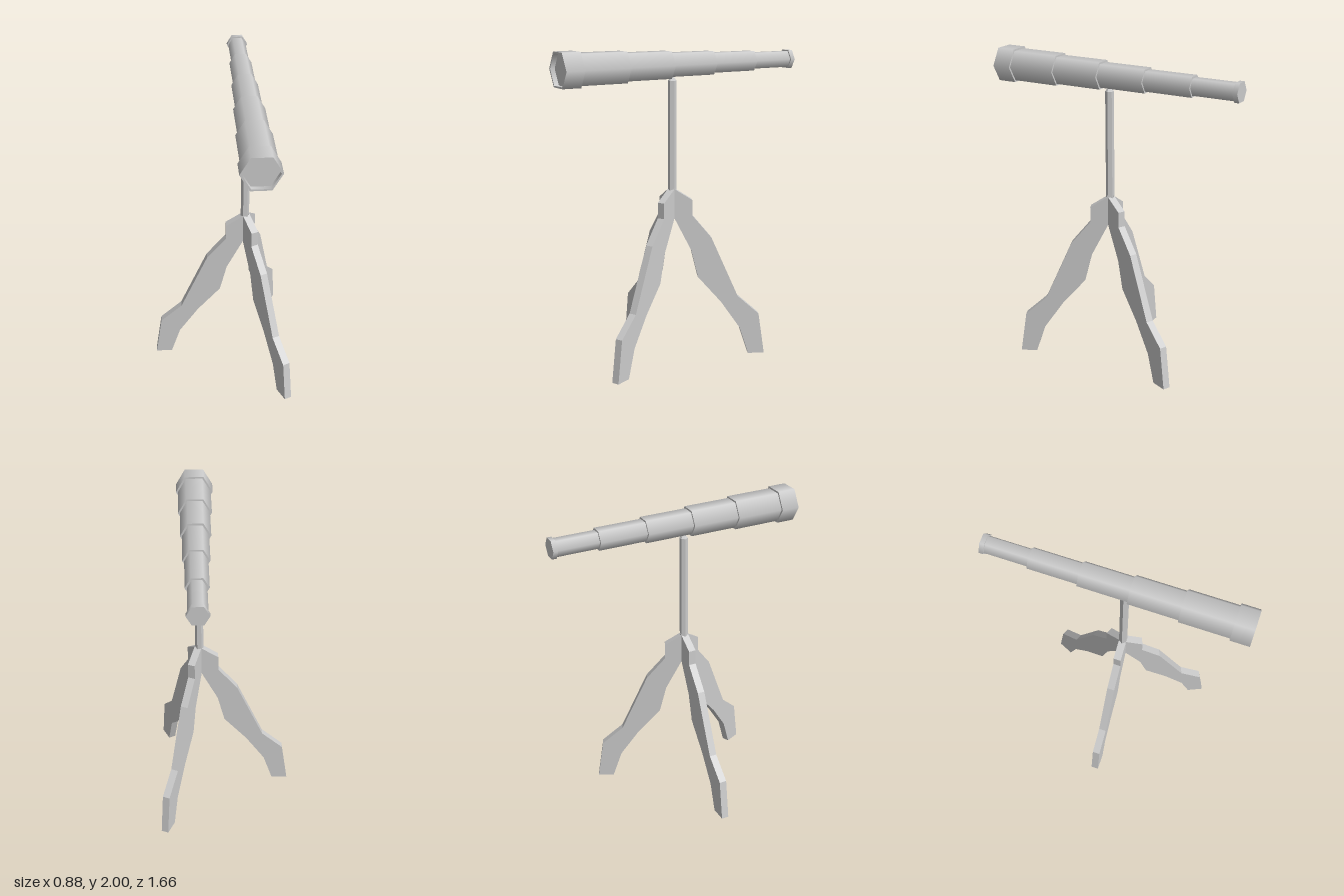
import * as THREE from 'three';
import { mergeGeometries } from 'three/addons/utils/BufferGeometryUtils.js';

const SIDES = 6;
const HUB = { x: 0.165, z: 0.053 };

// Six-sided shell along z from [radius, z] points; every band keeps its own smooth normals
function hexShell(profile) {
  const bands = [];
  for (let i = 0; i < profile.length - 1; i++) {
    const pair = [profile[i], profile[i + 1]].map(([r, z]) => new THREE.Vector2(r, z));
    bands.push(new THREE.LatheGeometry(pair, SIDES, Math.PI / 2));
  }
  return mergeGeometries(bands).rotateX(Math.PI / 2);
}

export function createModel() {
  const model = new THREE.Group();
  const smooth = new THREE.MeshStandardMaterial({ color: 0xcccccc });
  const flat = new THREE.MeshStandardMaterial({ color: 0xcccccc, flatShading: true });

  const add = (parent, name, geometry, material) => {
    const mesh = new THREE.Mesh(geometry, material);
    mesh.name = name;
    parent.add(mesh);
    return mesh;
  };

  // Telescope: nested draw tubes, widest at the front
  const telescope = new THREE.Group();
  telescope.name = 'telescope';
  telescope.position.set(0.173, 1.895, 0);
  model.add(telescope);

  const tubes = [
    [0.108, 0.4, 0.72],
    [0.096, 0.09, 0.41],
    [0.083, -0.22, 0.1],
    [0.071, -0.53, -0.21],
    [0.058, -0.81, -0.52],
  ];
  tubes.forEach(([r, z0, z1], i) => {
    add(telescope, `drawTube${i + 1}`, hexShell([[0, z0], [r, z0], [r, z1], [0, z1]]), smooth);
  });

  // Front collar with a recessed lens
  add(telescope, 'lensCollar',
    hexShell([[0, 0.71], [0.121, 0.71], [0.121, 0.83], [0.109, 0.83], [0.109, 0.8]]), smooth);
  add(telescope, 'lens', hexShell([[0.109, 0.8], [0, 0.8]]), smooth);

  // Eyepiece ring
  add(telescope, 'eyepiece',
    hexShell([[0, -0.83], [0.067, -0.83], [0.067, -0.8], [0, -0.8]]), smooth);

  // Post with a bevelled tip
  const post = new THREE.Group();
  post.name = 'post';
  post.position.set(HUB.x - 0.003, 0, HUB.z);
  model.add(post);
  const hexPrism = (rTop, rBottom, y0, y1) =>
    new THREE.CylinderGeometry(rTop, rBottom, y1 - y0, SIDES, 1, false, Math.PI / 2)
      .translate(0, (y0 + y1) / 2, 0);
  add(post, 'postShaft', hexPrism(0.027, 0.027, 1.0, 1.795), flat);
  add(post, 'postTip', hexPrism(0.012, 0.027, 1.795, 1.815), flat);

  // Three flat curved legs, cut from one board outline [distance from hub, height]
  const outline = [
    [0, 0.945], [0.12, 0.71], [0.165, 0.53], [0.315, 0.36], [0.44, 0.18], [0.5, 0], [0.605, 0],
    [0.565, 0.27], [0.425, 0.395], [0.25, 0.79], [0.125, 0.94], [0.125, 1.04], [0, 1.12],
  ];
  const thickness = 0.048;
  const legGeometry = new THREE.ExtrudeGeometry(
    new THREE.Shape(outline.map(([u, y]) => new THREE.Vector2(u, y))),
    { depth: thickness, bevelEnabled: false },
  ).translate(0, 0, -thickness / 2);

  const splay = THREE.MathUtils.degToRad(65.5);
  const legs = { rightLeg: Math.PI, frontLeg: -splay, backLeg: splay };
  for (const [name, angle] of Object.entries(legs)) {
    const leg = add(model, name, legGeometry, flat);
    leg.position.set(HUB.x, 0, HUB.z);
    leg.rotation.y = angle;
  }

  return model;
}
